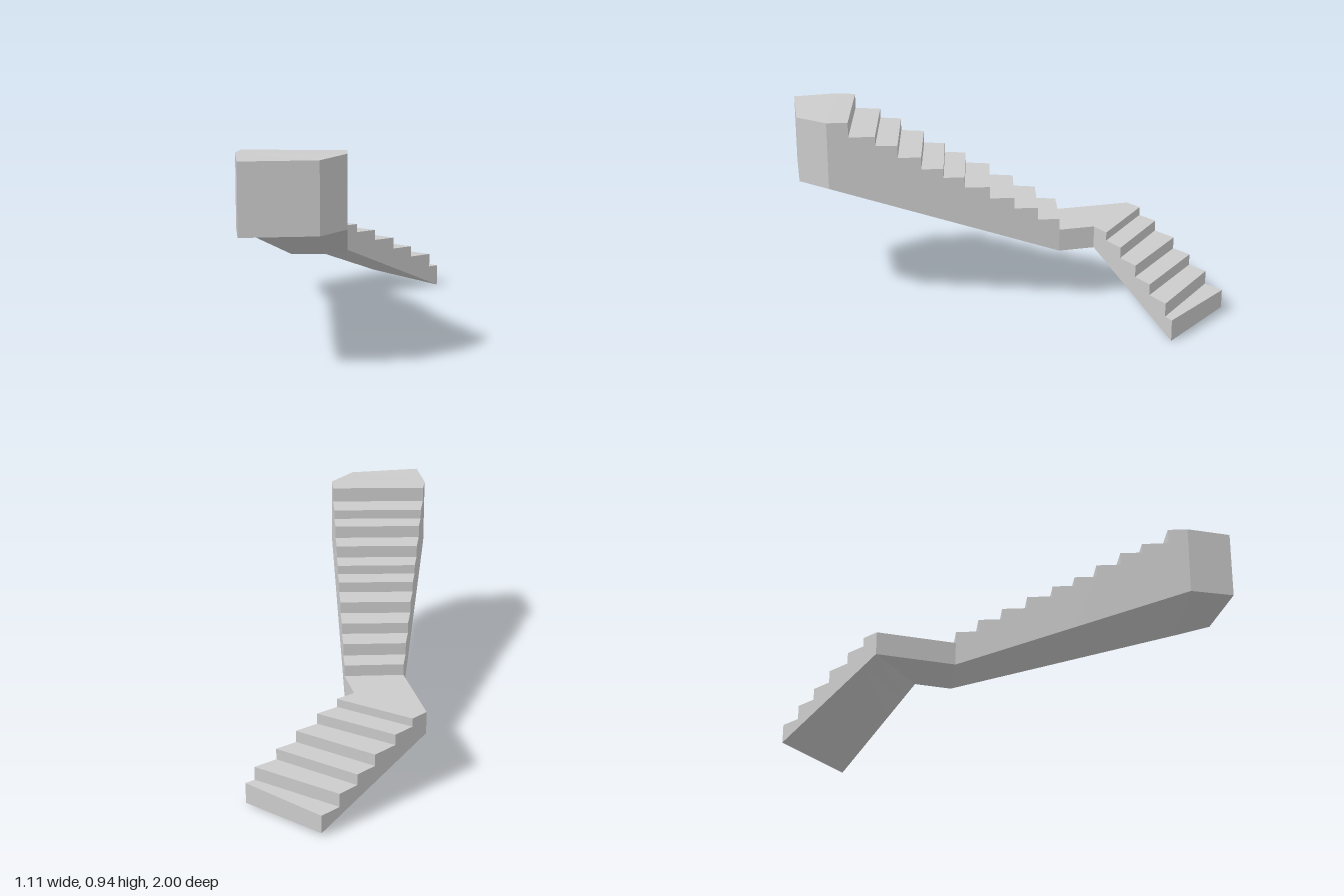
import * as THREE from 'three';

const lerp = THREE.MathUtils.lerp;
const material = new THREE.MeshStandardMaterial({ color: 0xcccccc, flatShading: true });

// A section is a ring: right top, left top, left bottom, right bottom.
// Points are [x, z]; bottoms and tops are heights.
function section(r, l, top, botR, botL = botR, topL = top) {
  return [[r[0], top, r[1]], [l[0], topL, l[1]], [l[0], botL, l[1]], [r[0], botR, r[1]]];
}

// Skins consecutive sections with quads; risers (same plan) need only the top strip.
function skin(name, sections, { startCap = false, endCap = false } = {}) {
  const pos = [];
  const quad = (a, b, c, d) => pos.push(...a, ...b, ...c, ...a, ...c, ...d);
  for (let i = 0; i + 1 < sections.length; i++) {
    const p = sections[i], q = sections[i + 1];
    const riser = p[0][0] === q[0][0] && p[0][2] === q[0][2];
    for (let j = 0; j < (riser ? 1 : 4); j++) {
      const k = (j + 1) % 4;
      quad(p[j], q[j], q[k], p[k]);
    }
  }
  if (startCap) quad(...sections[0]);
  if (endCap) quad(...[...sections[sections.length - 1]].reverse());
  const geometry = new THREE.BufferGeometry();
  geometry.setAttribute('position', new THREE.Float32BufferAttribute(pos, 3));
  geometry.computeVertexNormals();
  const mesh = new THREE.Mesh(geometry, material);
  mesh.name = name;
  return mesh;
}

// Steps are [z on right edge, z on left edge, tread height above that riser].
function flightSections(start, end, firstTop, steps) {
  const at = (zR, zL, top) => {
    const tR = (zR - start.r[1]) / (end.r[1] - start.r[1]);
    const tL = (zL - start.l[1]) / (end.l[1] - start.l[1]);
    return section(
      [lerp(start.r[0], end.r[0], tR), zR], [lerp(start.l[0], end.l[0], tL), zL],
      top, lerp(start.botR, end.botR, tR), lerp(start.botL, end.botL, tL));
  };
  let top = firstTop;
  const out = [at(start.r[1], start.l[1], top)];
  for (const [zR, zL, next] of steps) {
    out.push(at(zR, zL, top), at(zR, zL, next));
    top = next;
  }
  out.push(at(end.r[1], end.l[1], top));
  return out;
}

export function createModel() {
  const group = new THREE.Group();
  group.name = 'staircase';

  // Plan corners where the parts meet
  const foot = { r: [0.25, -1.0], l: [0.55, -0.675], botR: 0.015, botL: 0 };
  const turnIn = { r: [-0.285, -0.64], l: [0.01, -0.41], botR: 0.27, botL: 0.27 };
  const turnOut = { r: [-0.25, -0.265], l: [0.027, -0.235], botR: 0.27, botL: 0.27 };
  const head = { r: [-0.555, 0.79], l: [-0.08, 0.865], botR: 0.615, botL: 0.615 };

  // Lower flight, climbing to the turn
  group.add(skin('lowerFlight', flightSections(foot, turnIn, 0.105, [
    [-0.94, -0.653, 0.172],
    [-0.88, -0.601, 0.227],
    [-0.82, -0.553, 0.285],
    [-0.75, -0.502, 0.338],
    [-0.69, -0.453, 0.38],
  ]), { startCap: true }));

  // Flat landing at the turn
  group.add(skin('turnLanding', [turnIn, turnOut].map((e) => section(e.r, e.l, 0.38, 0.27))));

  // Upper flight, widening toward the top
  group.add(skin('upperFlight', flightSections(turnOut, head, 0.38, [
    [-0.265, -0.235, 0.436],
    [-0.165, -0.13, 0.496],
    [-0.058, -0.018, 0.55],
    [0.055, 0.10, 0.608],
    [0.17, 0.22, 0.66],
    [0.27, 0.32, 0.705],
    [0.37, 0.425, 0.765],
    [0.48, 0.535, 0.826],
    [0.58, 0.64, 0.872],
    [0.70, 0.765, 0.944],
  ])));

  // Top landing with one clipped corner
  group.add(skin('topLanding', [
    section(head.r, head.l, 0.944, 0.615),
    section([-0.555, 1], [-0.21, 1], 0.938, 0.615),
  ], { endCap: true }));

  return group;
}
